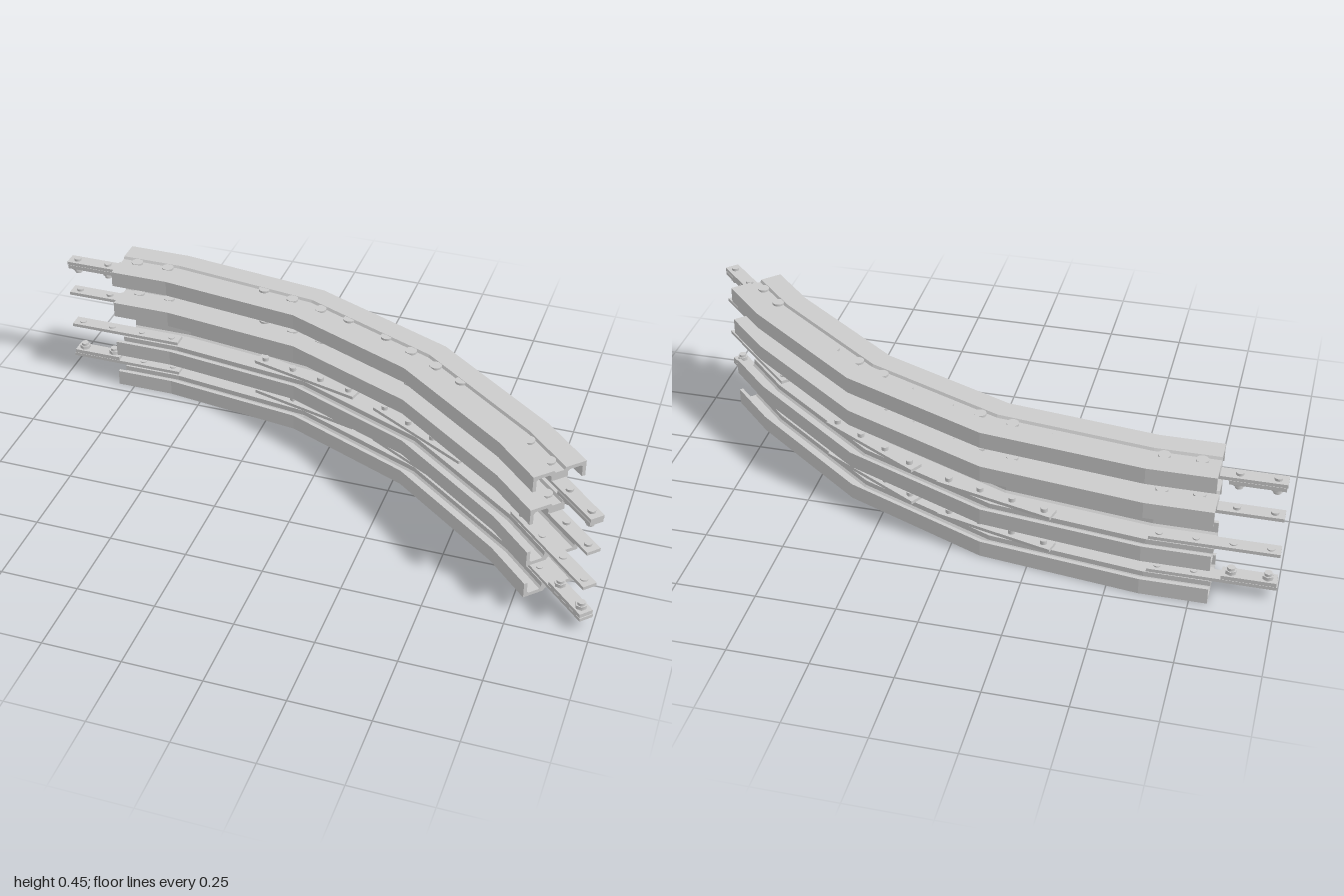
import * as THREE from 'three';

const material = new THREE.MeshStandardMaterial({ color: 0xcccccc });

// Centre line of the curved rail in plan (x, z)
const path = [[-0.805, -0.375], [-0.605, -0.375], [-0.122, -0.312],
  [0.322, -0.125], [0.705, 0.168], [0.842, 0.305]].map(p => new THREE.Vector2(...p));

// Half of the channel section (across, up), mirrored for the other half
const half = [[0.015, 0.008], [0.02, 0], [0.09, 0], [0.09, 0.053], [0.078, 0.053],
  [0.078, 0.018], [0.072, 0.012], [0.034, 0.012], [0.028, 0.018], [0.028, 0.035]];
const section = [...half, ...half.map(([u, y]) => [-u, y]).reverse()];

// Joining plates: x, z, angle in degrees, protruding end (-1, 0 or 1)
const plates = [
  { name: 'leftEndStrap', x: -0.805, z: -0.377, angle: 0, end: -1 },
  { name: 'rearSplicePlate', x: -0.1275, z: -0.308, angle: 15, end: 0 },
  { name: 'frontSplicePlate', x: 0.3175, z: -0.1225, angle: 30, end: 0 },
  { name: 'rightEndStrap', x: 0.842, z: 0.308, angle: 44.5, end: 1 },
];

function add(parent, name, geometry, x = 0, y = 0, z = 0) {
  const mesh = new THREE.Mesh(geometry, material);
  mesh.name = name;
  mesh.position.set(x, y, z);
  parent.add(mesh);
  return mesh;
}

// Sweeps the section along the path with mitred corners and flat ends
function channelGeometry(up) {
  let loop = section.map(([u, y]) => new THREE.Vector2(u, y * up));
  if (up < 0) loop.reverse();
  const dirs = path.slice(1).map((p, i) => p.clone().sub(path[i]).normalize());
  const rings = path.map((p, i) => {
    const a = dirs[Math.max(i - 1, 0)], b = dirs[Math.min(i, dirs.length - 1)];
    const d = a.clone().add(b).normalize();
    const miter = 1 / d.dot(a);
    return loop.map(q => [p.x - d.y * q.x * miter, q.y, p.y + d.x * q.x * miter]);
  });
  const pos = [];
  const tri = (a, b, c) => pos.push(...a, ...b, ...c);
  for (let i = 0; i < rings.length - 1; i++) {
    const r = rings[i], s = rings[i + 1];
    for (let j = 0; j < loop.length; j++) {
      const k = (j + 1) % loop.length;
      tri(r[j], s[j], s[k]);
      tri(r[j], s[k], r[k]);
    }
  }
  const first = rings[0], last = rings[rings.length - 1];
  for (const [a, b, c] of THREE.ShapeUtils.triangulateShape(loop, [])) {
    tri(first[a], first[b], first[c]);
    tri(last[c], last[b], last[a]);
  }
  const geometry = new THREE.BufferGeometry();
  geometry.setAttribute('position', new THREE.Float32BufferAttribute(pos, 3));
  geometry.computeVertexNormals();
  return geometry;
}

// One rail: up = 1 opens upward, up = -1 opens downward
function rail(name, y, up, clamped) {
  const group = new THREE.Group();
  group.name = name;
  group.position.y = y;
  add(group, 'channel', channelGeometry(up));

  for (const { name: plateName, x, z, angle, end } of plates) {
    const plate = new THREE.Group();
    plate.name = plateName;
    plate.position.set(x, 0, z);
    plate.rotation.y = -THREE.MathUtils.degToRad(angle);
    group.add(plate);

    const bar = (part, length, y0, y1, px = 0) =>
      add(plate, part, new THREE.BoxGeometry(length, y1 - y0, 0.046), px, up * (y0 + y1) / 2);
    const round = (part, r, y0, y1, px, sides = 20) =>
      add(plate, part, new THREE.CylinderGeometry(r, r, y1 - y0, sides), px, up * (y0 + y1) / 2);

    bar('plate', 0.39, 0.035, 0.046);
    for (const px of [-0.165, -0.055, 0.055, 0.165]) {
      if (px * end > 0) {
        // Bolts on the protruding half
        round('strapBolt', 0.012, 0.027, 0.05, px);
        if (clamped) {
          round('clampNut', 0.018, 0.06, 0.072, px, 6).geometry.computeVertexNormals();
          round('clampBoltEnd', 0.012, 0.072, 0.081, px);
        }
      } else {
        // Bolts through the channel web
        round('boltHead', 0.019, 0.001, 0.009, px);
        round('boltEnd', 0.011, 0.045, end ? 0.05 : 0.059, px);
      }
    }
    if (end && clamped) bar('clampPlate', 0.165, 0.047, 0.06, end * 0.11);
  }
  return group;
}

export function createModel() {
  const model = new THREE.Group();
  model.name = 'curvedRailSet';
  model.add(
    rail('bottomRail', 0, 1, true),
    rail('lowerMiddleRail', 0.121, 1, false),
    rail('upperMiddleRail', 0.331, -1, false),
    rail('topRail', 0.451, -1, true),
  );
  return model;
}
